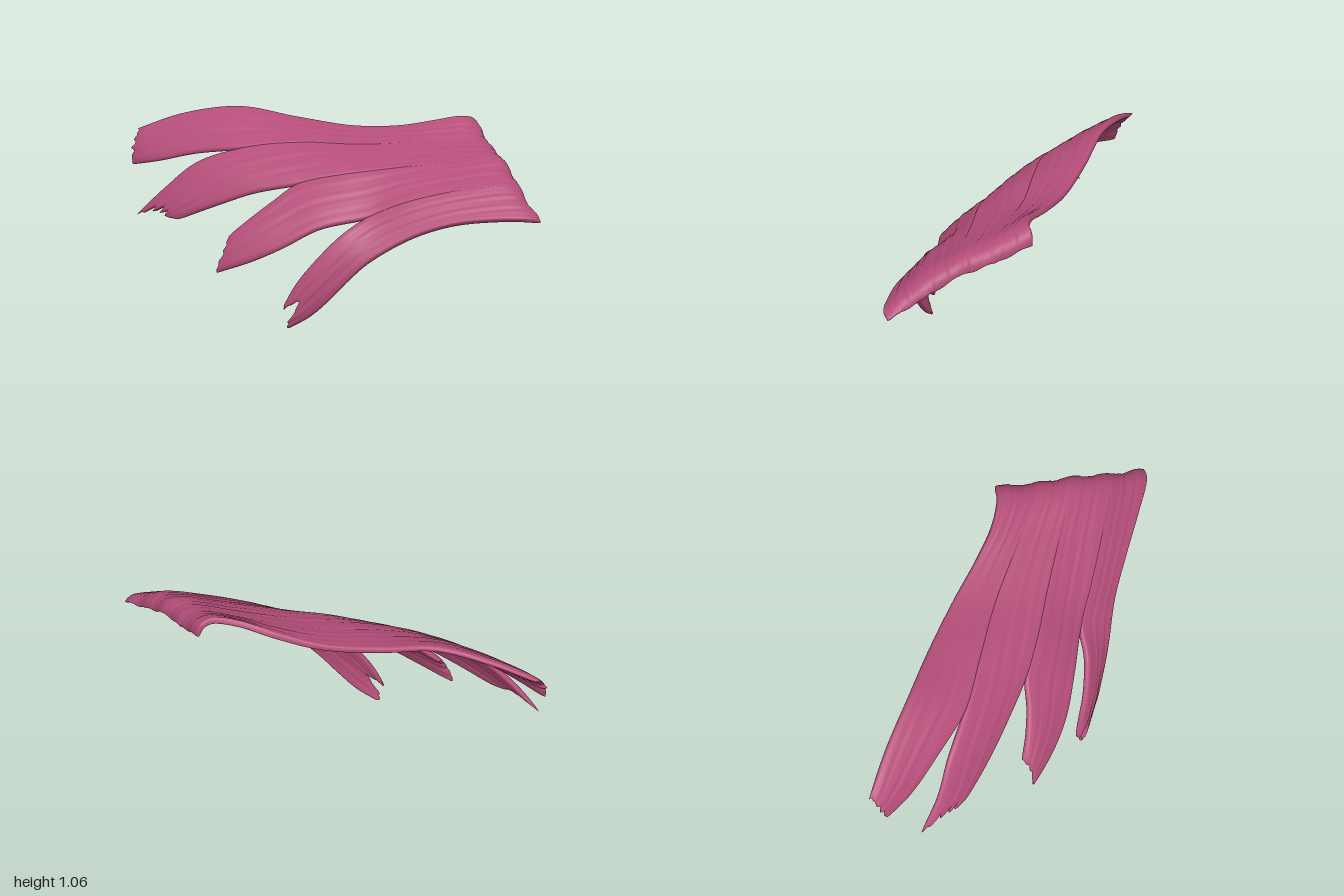
import * as THREE from 'three';

const V = (p) => new THREE.Vector3(...p);

// Long edges of the sheet: outer borders and the seams that lead to each split
const backBorder = [[.825, .955, .15], [.8, 1.02, .145], [.74, 1.04, .14], [.6, 1.015, .07], [.45, .97, -.06], [.25, .945, -.25],
  [0, .975, -.455], [-.25, 1.02, -.64], [-.5, .965, -.84], [-.72, .865, -.995]];
const frontBorder = [[.835, .645, .985], [.78, .66, .985], [.6, .655, .89], [.4, .62, .77], [.2, .535, .65], [0, .405, .56],
  [-.1, .3, .505], [-.2, .17, .44], [-.28, .075, .375], [-.38, -.003, .3]];
const seam1 = [[.82, .885, .36], [.79, .935, .355], [.73, .955, .34], [.5, .93, .18], [.2, .895, -.03], [-.1, .9, -.2], [-.34, .87, -.34]];
const seam2 = [[.82, .84, .57], [.79, .885, .57], [.73, .9, .55], [.5, .865, .42], [.2, .825, .26], [0, .795, .16], [-.2, .74, .04]];
const seam3 = [[.82, .735, .78], [.79, .78, .78], [.73, .8, .77], [.5, .77, .66], [.25, .705, .53], [.06, .615, .42]];

// Each band: back edge, front edge, and ragged tip depth across its width
const bands = [
  { name: 'backFinger', a: backBorder,
    b: [...seam1, [-.55, .815, -.56], [-.7, .74, -.75], [-.79, .685, -.92]],
    tip: (v) => .008 * Math.abs(Math.sin(v * 11)) + .003 * Math.sin(v * 31) },
  { name: 'upperMiddleFinger',
    a: [...seam1, [-.57, .775, -.5], [-.72, .625, -.6], [-.84, .45, -.73]],
    b: [...seam2, [-.4, .675, -.12], [-.55, .59, -.26], [-.72, .48, -.44]],
    tip: (v) => .05 * Math.sin(Math.PI * Math.min(1, v * 1.3)) * (.7 + .3 * Math.sin(v * 34)) },
  { name: 'lowerMiddleFinger',
    a: [...seam2, [-.35, .645, .01], [-.47, .55, -.03], [-.57, .455, -.08]],
    b: [...seam3, [-.2, .55, .31], [-.38, .44, .22], [-.52, .35, .11], [-.66, .265, -.04]],
    tip: (v) => .026 * Math.sin(Math.PI * v) * (.6 + .2 * Math.sin(v * 24)) - .01 * v },
  { name: 'frontFinger',
    a: [...seam3, [-.1, .53, .41], [-.25, .38, .365], [-.34, .25, .315], [-.4, .12, .275]],
    b: frontBorder,
    tip: (v) => .075 * Math.exp(-(((v - .45) / .2) ** 2)) + .006 * Math.sin(v * 33) },
];

const ACROSS = 40, ALONG = 72, HALF_THICK = .019;

// Closed, tapered strip lofted between two edge curves, with fine fibre ridges
function bandGeometry({ a, b, tip }, index) {
  const back = new THREE.CatmullRomCurve3(a.map(V));
  const front = new THREE.CatmullRomCurve3(b.map(V));
  back.arcLengthDivisions = front.arcLengthDivisions = 400;
  const at = (u, v) => {
    const t = THREE.MathUtils.clamp(u, 0, 1);
    return back.getPointAt(t).lerp(front.getPointAt(t), v);
  };

  const positions = [], indices = [], ring = 2 * ACROSS;
  for (let j = 0; j <= ALONG; j++) {
    const s = .5 - .5 * Math.cos(Math.PI * j / ALONG);
    const taper = Math.sqrt(Math.max(0, 1 - Math.abs(2 * s - 1) ** 24));
    const overlap = .045 * (1 - s);
    // Full edges where bands join, rounder edges on the free fingers
    const fullness = 8 + 30 * (1 - s);
    for (let i = 0; i < ring; i++) {
      const top = i <= ACROSS;
      const w = .5 - .5 * Math.cos(Math.PI * (top ? i : ring - i) / ACROSS);
      const v = -overlap + w * (1 + 2 * overlap);
      const u = s - tip(w) * s ** 6;
      const p = at(u, v);
      const du = at(u + .01, v).sub(at(u - .01, v));
      const dv = at(u, 1).sub(at(u, 0));
      const n = du.cross(dv).normalize();
      const edge = Math.sqrt(Math.max(0, 1 - Math.abs(2 * w - 1) ** fullness));
      const middle = Math.sin(Math.PI * w);
      const fibre = .0016 * Math.sin(w * 25 + 3 * Math.sin(s * 4 + index))
        + .0012 * Math.sin(w * 43 - s * 5 + index * 2);
      const bulge = .022 * s * s * middle;
      const h = (top ? 1 : -1) * HALF_THICK * edge * taper;
      p.addScaledVector(n, h + bulge + fibre * middle * taper);
      // Wavy attachment edge
      const wave = Math.exp(-s * 30) * Math.sin((w + index) * 7);
      p.x += .006 * wave;
      p.y += .012 * wave * middle;
      positions.push(p.x, p.y, p.z);
    }
  }
  for (let j = 0; j < ALONG; j++) {
    for (let i = 0; i < ring; i++) {
      const p = j * ring + i, q = j * ring + (i + 1) % ring;
      indices.push(p, p + ring, q, q, p + ring, q + ring);
    }
  }
  const geometry = new THREE.BufferGeometry();
  geometry.setAttribute('position', new THREE.Float32BufferAttribute(positions, 3));
  geometry.setIndex(indices);
  geometry.computeVertexNormals();
  return geometry;
}

export function createModel() {
  const group = new THREE.Group();
  group.name = 'fannedMuscle';
  const muscle = new THREE.MeshStandardMaterial({ color: 0xb44d78 });
  muscle.name = 'muscleRose';
  bands.forEach((band, index) => {
    const mesh = new THREE.Mesh(bandGeometry(band, index), muscle);
    mesh.name = band.name;
    group.add(mesh);
  });
  return group;
}
